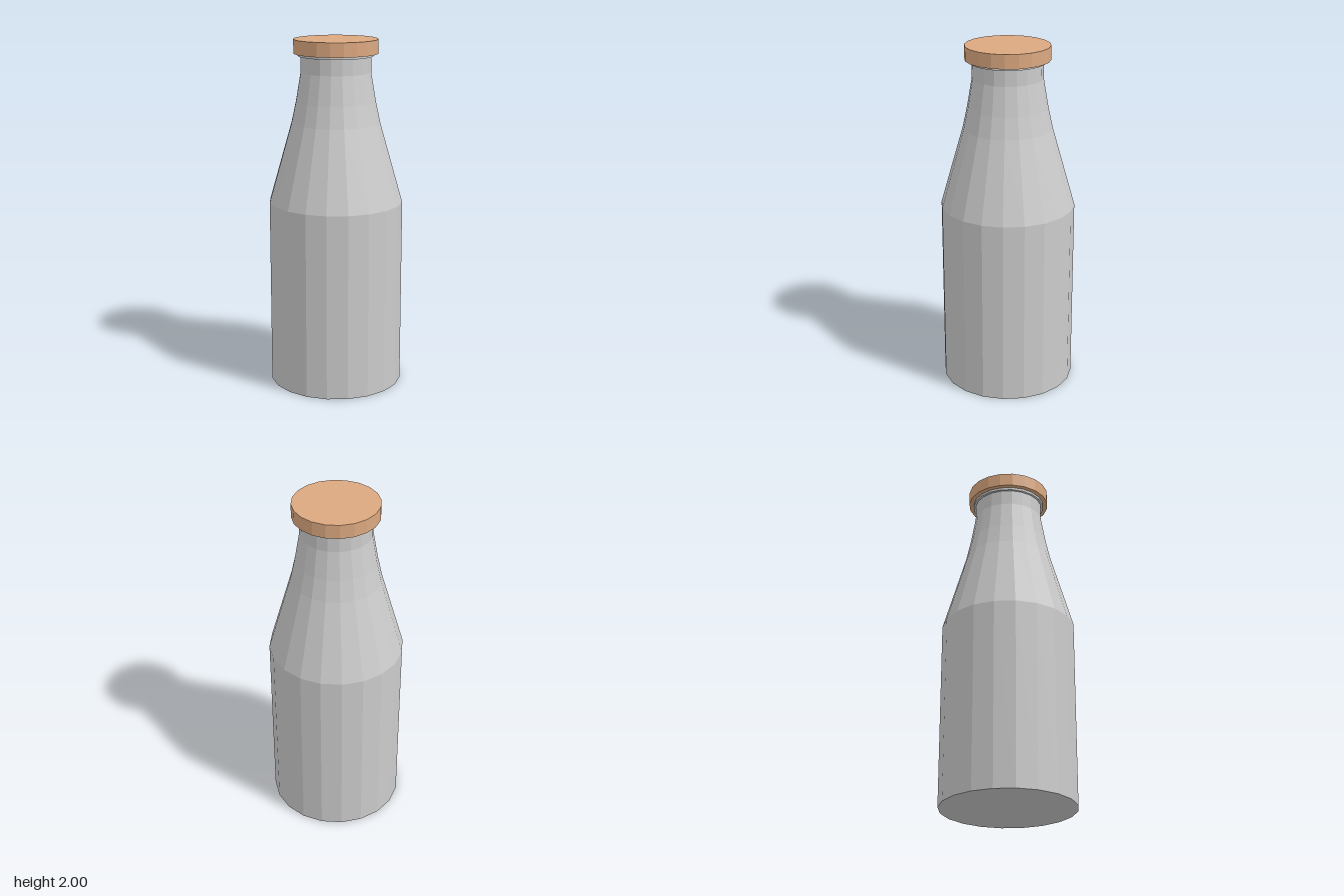
import * as THREE from 'three';

const SIDES = 20;

// Faceted solid of revolution from [radius, height] pairs, listed bottom to top
function turned(name, profile, color) {
  const points = profile.map(([r, y]) => new THREE.Vector2(r, y));
  const material = new THREE.MeshStandardMaterial({ color, flatShading: true });
  const mesh = new THREE.Mesh(new THREE.LatheGeometry(points, SIDES), material);
  mesh.name = name;
  return mesh;
}

export function createModel() {
  const model = new THREE.Group();
  model.name = 'bottle';

  // Straight body, sloping shoulder, neck and small lip
  model.add(turned('bottleBody', [
    [0, 0], [0.384, 0], [0.384, 1.075],
    [0.254, 1.53], [0.228, 1.65], [0.2, 1.815],
    [0.2, 1.905], [0.213, 1.905], [0.213, 1.922], [0, 1.922],
  ], 0xcccccc));

  // Overhanging flat cap
  const cap = new THREE.Mesh(
    new THREE.CylinderGeometry(0.24, 0.24, 0.08, SIDES),
    new THREE.MeshStandardMaterial({ color: 0xdba880, flatShading: true }),
  );
  cap.name = 'cap';
  cap.position.y = 1.96;
  model.add(cap);

  return model;
}
